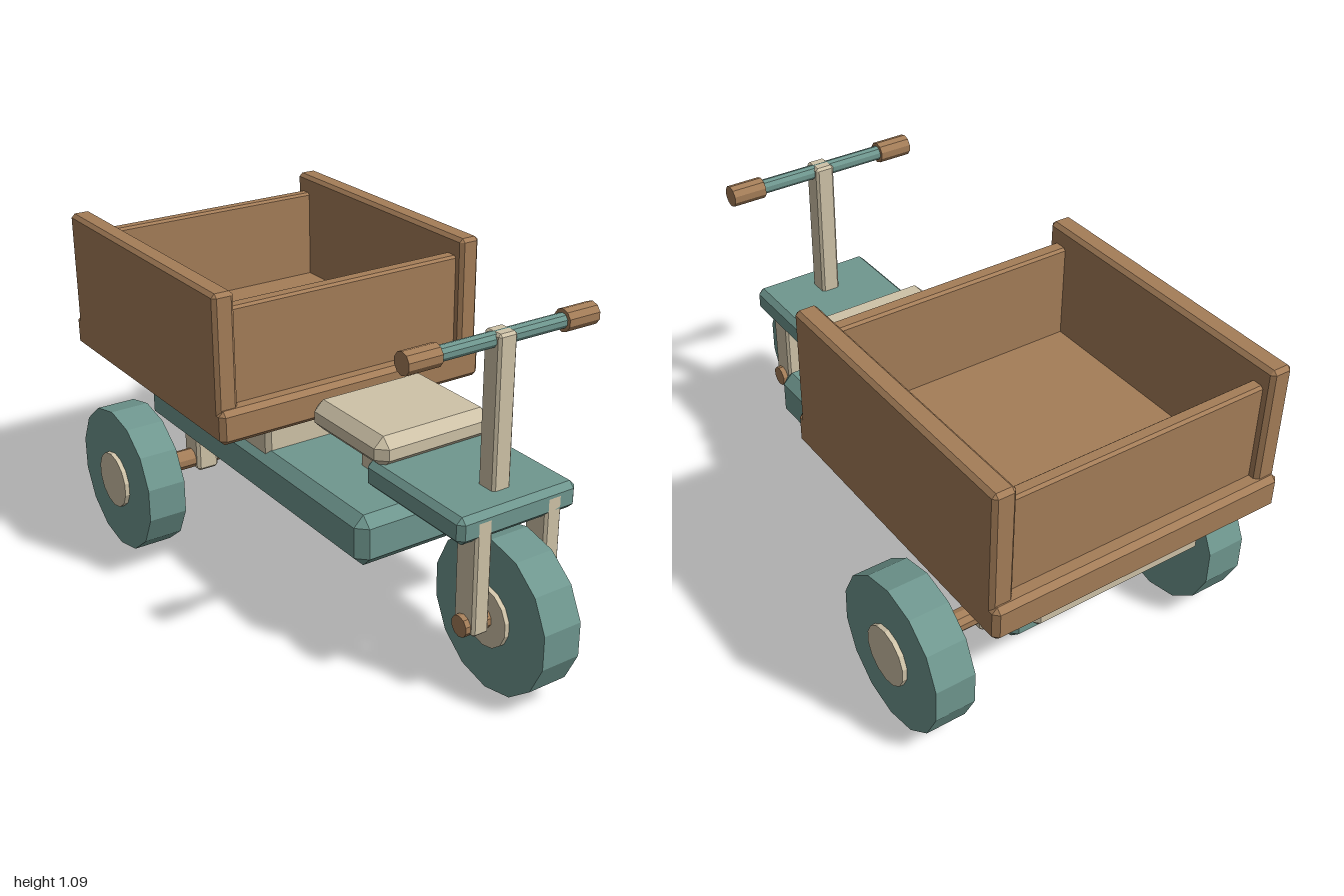
import * as THREE from 'three';
import { ConvexGeometry } from 'three/addons/geometries/ConvexGeometry.js';

const paint = (color) => new THREE.MeshStandardMaterial({ color, flatShading: true });

export function createModel() {
  const model = new THREE.Group();
  const teal = paint(0x6f978f);
  const wood = paint(0xa47d58);
  const cream = paint(0xcfc3a8);

  const add = (name, geometry, material) => {
    const mesh = new THREE.Mesh(geometry, material);
    mesh.name = name;
    model.add(mesh);
    return mesh;
  };

  // Box with all edges chamfered by c, given by its extents
  const block = (name, material, [x0, x1], [y0, y1], [z0, z1], c) => {
    const half = [(x1 - x0) / 2, (y1 - y0) / 2, (z1 - z0) / 2];
    const points = [];
    for (const sx of [-1, 1]) for (const sy of [-1, 1]) for (const sz of [-1, 1]) {
      const sign = [sx, sy, sz];
      for (let axis = 0; axis < 3; axis++) {
        points.push(new THREE.Vector3(...half.map((h, i) => sign[i] * (i === axis ? h : h - c))));
      }
    }
    const mesh = add(name, new ConvexGeometry(points), material);
    mesh.position.set((x0 + x1) / 2, (y0 + y1) / 2, (z0 + z1) / 2);
    return mesh;
  };

  // Faceted cylinder lying along x, with a corner at the bottom
  const rod = (name, material, radius, x0, x1, y, z, sides) => {
    const geometry = new THREE.CylinderGeometry(radius, radius, x1 - x0, sides);
    geometry.rotateY(Math.PI / 2).rotateZ(Math.PI / 2);
    const mesh = add(name, geometry, material);
    mesh.position.set((x0 + x1) / 2, y, z);
    return mesh;
  };

  const wheel = (name, x, z) => {
    rod(name, teal, 0.245, x - 0.065, x + 0.065, 0.245, z, 14);
    rod(name + 'Hub', cream, 0.095, x - 0.08, x + 0.08, 0.245, z, 14);
  };

  // Mirrored extents for left (+x) and right (-x)
  const sides = [['left', 1], ['right', -1]];
  const span = (s, a, b) => (s > 0 ? [a, b] : [-b, -a]);

  // Chassis
  block('deck', teal, [-0.31, 0.31], [0.325, 0.49], [-0.83, 0.475], 0.033);
  block('neckBlock', teal, [-0.15, 0.15], [0.46, 0.56], [0.36, 0.45], 0.01);
  block('frontPlate', teal, [-0.21, 0.21], [0.525, 0.61], [0.35, 0.8], 0.018);

  // Seat
  block('seatPost', cream, [-0.1, 0.1], [0.47, 0.62], [0.17, 0.31], 0.01);
  block('seat', cream, [-0.21, 0.21], [0.595, 0.695], [0.055, 0.43], 0.032);

  // Cargo tray
  block('traySupport', cream, [-0.29, 0.29], [0.46, 0.61], [-0.92, -0.06], 0.015);
  block('trayFloor', wood, [-0.487, 0.487], [0.585, 0.695], [-1, 0.01], 0.016);
  block('trayFrontBoard', wood, [-0.43, 0.43], [0.67, 1.0], [-0.09, -0.04], 0.008);
  block('trayBackBoard', wood, [-0.43, 0.43], [0.67, 1.0], [-0.95, -0.905], 0.008);
  for (const [side, s] of sides) {
    block(side + 'TrayBoard', wood, span(s, 0.415, 0.487), [0.66, 1.06], [-0.98, -0.01], 0.012);
  }

  // Front fork and wheel
  for (const [side, s] of sides) {
    block(side + 'ForkLeg', cream, span(s, 0.095, 0.153), [0.22, 0.59], [0.71, 0.8], 0.008);
  }
  rod('frontAxle', wood, 0.034, -0.17, 0.17, 0.245, 0.757, 10);
  wheel('frontWheel', 0, 0.757);

  // Rear axle and wheels
  rod('rearAxle', wood, 0.034, -0.44, 0.44, 0.245, -0.602, 10);
  for (const [side, s] of sides) {
    block(side + 'AxleBracket', cream, span(s, 0.195, 0.275), [0.207, 0.36], [-0.65, -0.555], 0.01);
    wheel(side + 'RearWheel', s * 0.495, -0.602);
  }

  // Steering
  block('steeringPost', cream, [-0.032, 0.032], [0.475, 1.075], [0.648, 0.718], 0.008);
  rod('handlebar', teal, 0.023, -0.23, 0.23, 1.053, 0.683, 10);
  for (const [side, s] of sides) {
    rod(side + 'Grip', wood, 0.034, ...span(s, 0.217, 0.327), 1.053, 0.683, 10);
  }

  return model;
}
